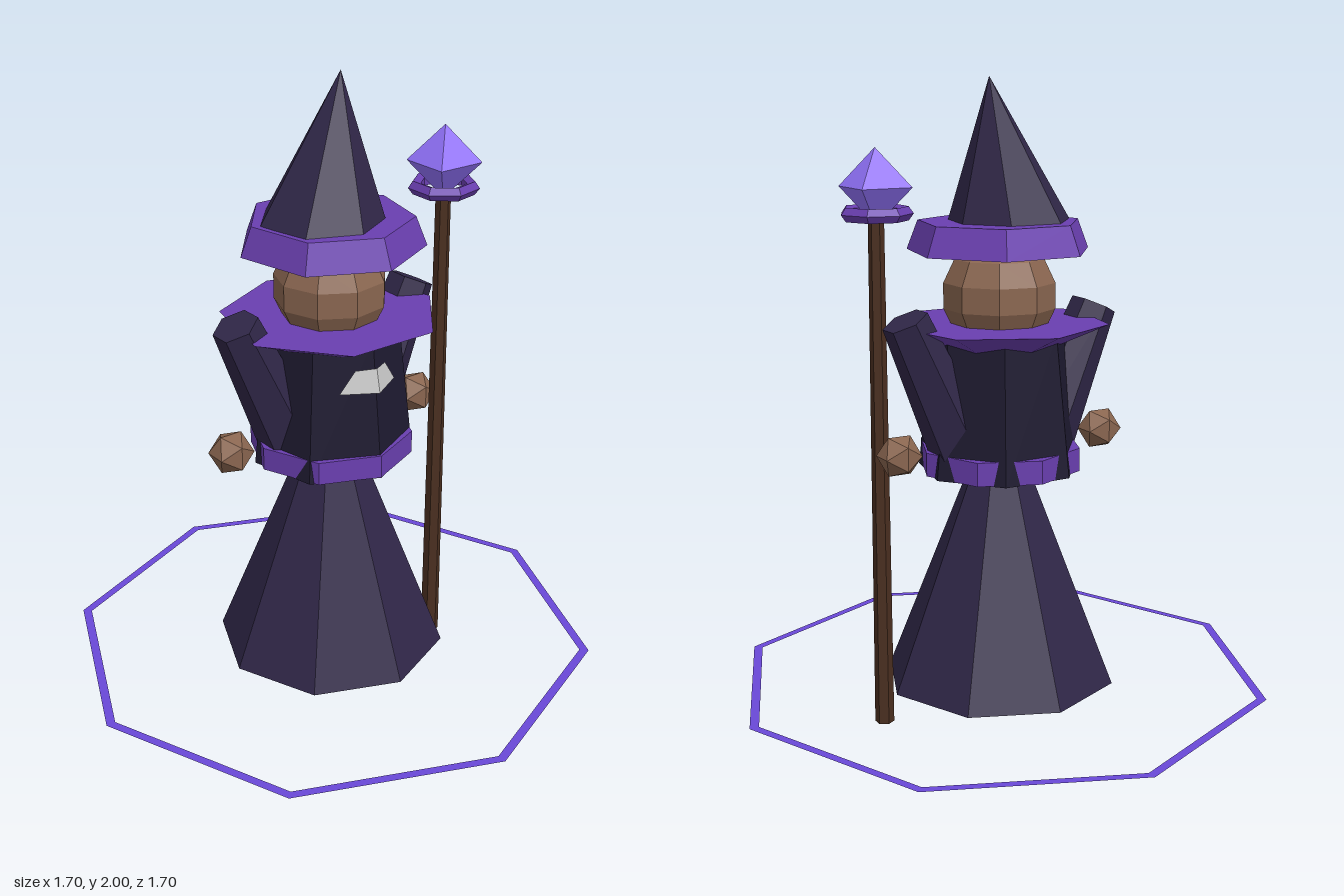
import * as THREE from 'three';

const mat = (color) => new THREE.MeshStandardMaterial({ color, flatShading: true, side: THREE.DoubleSide });

export function createModel() {
  const robeMat = mat(0x302748), torsoMat = mat(0x1e1a30), trimMat = mat(0x6a3fb0);
  const skinMat = mat(0x8a6650), woodMat = mat(0x4a2f20), crystalMat = mat(0x9474ff);
  const ringMat = mat(0x6a48d8), clothMat = mat(0xcccccc);

  const group = new THREE.Group();
  group.name = 'wizard';
  // the figure is built facing +z, then turned
  const body = new THREE.Group();
  body.name = 'figure';
  body.rotation.y = 1.435;
  group.add(body);

  const add = (name, geometry, material, x = 0, y = 0, z = 0) => {
    const mesh = new THREE.Mesh(geometry, material);
    mesh.name = name;
    mesh.position.set(x, y, z);
    body.add(mesh);
    return mesh;
  };
  // tapered prism given by its bottom and top heights
  const prism = (name, material, rTop, rBottom, y0, y1, sides) =>
    add(name, new THREE.CylinderGeometry(rTop, rBottom, y1 - y0, sides), material, 0, (y0 + y1) / 2, 0);

  // flat magic circle
  add('magicCircle', new THREE.RingGeometry(0.828, 0.858, 8).rotateX(-Math.PI / 2), ringMat, 0, 0.108, 0);

  // robe, torso, belt and flared collar
  prism('robeSkirt', robeMat, 0, 0.37, 0.11, 1.04, 8);
  prism('torso', torsoMat, 0.208, 0.257, 0.8, 1.24, 7);
  prism('belt', trimMat, 0.257, 0.257, 0.802, 0.875, 8);
  add('collar', new THREE.ConeGeometry(0.34, 0.15, 7).rotateX(Math.PI), trimMat, 0, 1.185, 0);

  // folded chest patch wrapping the front ridge of the torso
  const patch = new THREE.BufferGeometry();
  patch.setAttribute('position', new THREE.Float32BufferAttribute([
    -0.105, 1.08, 0.182, 0, 1.08, 0.244, 0.105, 1.08, 0.182,
    -0.056, 1.15, 0.196, 0, 1.155, 0.228, 0.056, 1.15, 0.196], 3));
  patch.setIndex([0, 1, 4, 0, 4, 3, 1, 2, 5, 1, 5, 4]);
  patch.computeVertexNormals();
  add('chestPatch', patch, clothMat);

  // head and leaning pointed hat
  add('head', new THREE.SphereGeometry(0.178, 9, 7), skinMat, 0, 1.345, 0);
  prism('hatBrim', trimMat, 0.253, 0.288, 1.48, 1.57, 7);
  add('hatCone', new THREE.ConeGeometry(0.2, 0.46, 7), robeMat, 0, 1.772, 0.005).rotation.z = -0.14;

  // sleeves and hands, mirrored
  for (const s of [-1, 1]) {
    const side = s > 0 ? 'left' : 'right';
    const sleeve = add(side + 'Sleeve', new THREE.CylinderGeometry(0.072, 0.105, 0.5, 6), robeMat, s * 0.23, 1.065, -0.02);
    sleeve.rotation.z = -s * 0.43;
    add(side + 'Hand', new THREE.IcosahedronGeometry(0.07, 0), skinMat, s * 0.36, 0.885, -0.022);
  }

  // staff with a ring holder and crystal
  const sx = 0.382, sz = 0.066;
  add('staff', new THREE.CylinderGeometry(0.024, 0.03, 1.6, 6), woodMat, sx, 0.8, sz);
  add('crystalHolder', new THREE.TorusGeometry(0.09, 0.022, 5, 7).rotateX(Math.PI / 2), trimMat, sx, 1.605, sz);
  add('crystal', new THREE.OctahedronGeometry(0.115), crystalMat, sx, 1.683, sz).rotation.y = Math.PI / 4;

  return group;
}
